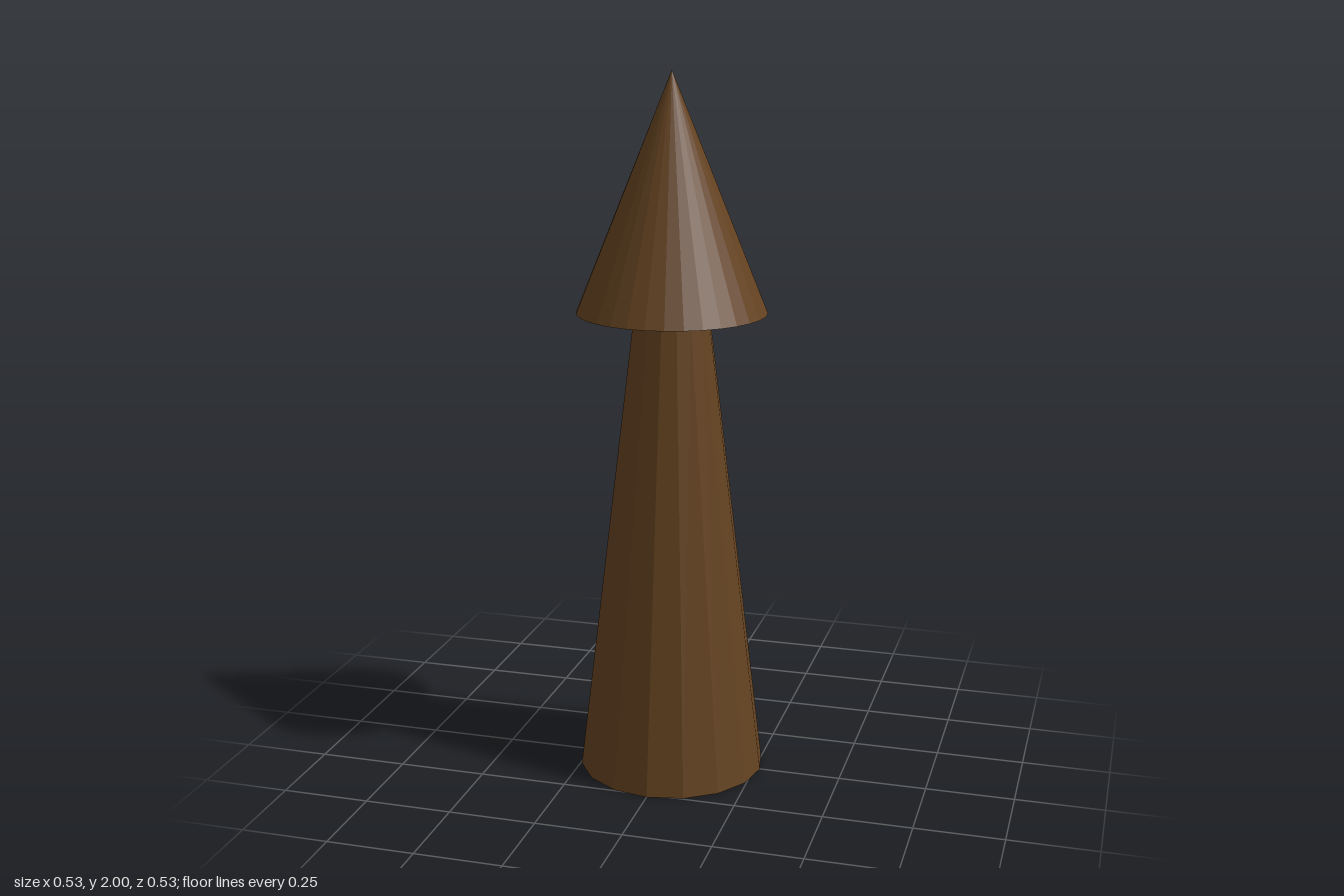
import * as THREE from 'three';

export function createModel() {
  const group = new THREE.Group();
  const material = new THREE.MeshStandardMaterial({ color: 0x654321, flatShading: true });

  const add = (name, geometry, bottom, height) => {
    const mesh = new THREE.Mesh(geometry, material);
    mesh.name = name;
    mesh.position.y = bottom + height / 2;
    group.add(mesh);
  };

  // Tapered shaft, closed at both ends
  add('shaft', new THREE.CylinderGeometry(0.105, 0.266, 1.34, 16), 0, 1.34);

  // Overhanging pointed cap
  add('coneCap', new THREE.ConeGeometry(0.266, 0.66, 32), 1.34, 0.66);

  return group;
}
